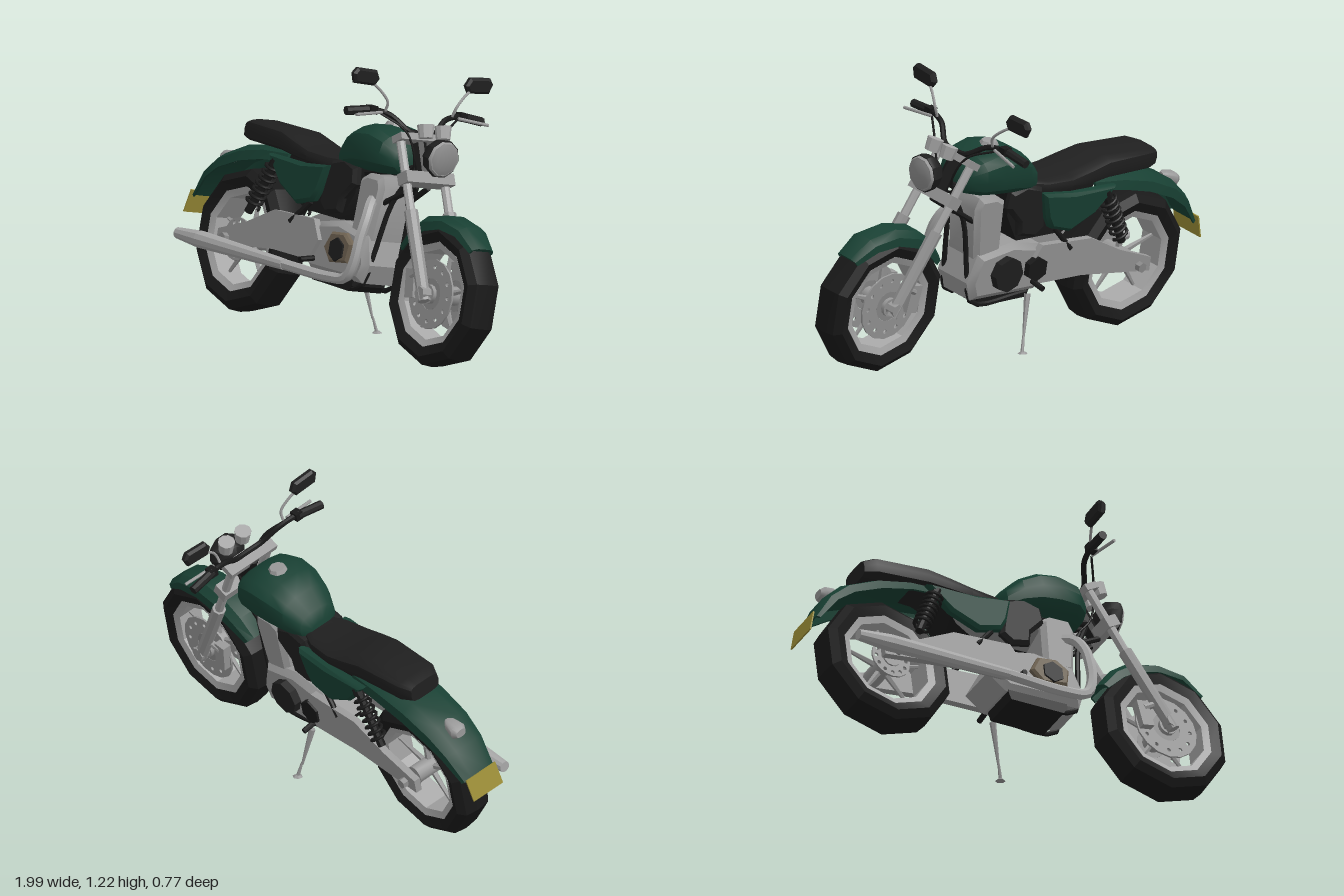
import * as THREE from 'three';
import { toCreasedNormals } from 'three/addons/utils/BufferGeometryUtils.js';

const V = (x, y, z) => new THREE.Vector3(x, y, z);
const mat = (name, color) => Object.assign(new THREE.MeshStandardMaterial({ color }), { name });

export function createModel() {
  const green = mat('dark green paint', 0x184033), black = mat('black rubber', 0x191919);
  const dark = mat('black leather', 0x1f1f1f), steel = mat('steel', 0x989898);
  const chrome = mat('pale chrome', 0xa8a8a8), tan = mat('tan cover', 0x6f6352);
  const yellow = mat('yellow plate', 0x9c8e37), grey = mat('grey lens', 0x8c8c8c);

  const root = new THREE.Group(), bike = new THREE.Group();
  root.name = 'motorcycle';
  bike.name = 'leaningBike';
  root.add(bike);
  // the parked bike leans over onto its side stand
  bike.rotation.x = -0.2;
  bike.position.z = 0.2;

  const add = (name, geo, m, parent = bike, crease = 0.6) => {
    const mesh = new THREE.Mesh(toCreasedNormals(geo, crease), m);
    mesh.name = name;
    parent.add(mesh);
  };
  // closed skin over a row of closed rings, ends filled strip by strip
  const loft = (rings) => {
    const n = rings[0].length, pos = rings.flat().flatMap(p => [p.x, p.y, p.z]), idx = [];
    for (let i = 0; i + 1 < rings.length; i++) for (let j = 0; j < n; j++) {
      const a = i * n + j, b = i * n + (j + 1) % n;
      idx.push(a, b, a + n, b, b + n, a + n);
    }
    const e = (rings.length - 1) * n;
    for (let j = 0; j < n / 2 - 1; j++) {
      const k = n - 1 - j;
      idx.push(j + 1, j, k, j + 1, k, k - 1);
      idx.push(e + j, e + j + 1, e + k, e + k, e + j + 1, e + k - 1);
    }
    // turn the skin outward
    let vol = 0;
    const P = i => V(pos[i * 3], pos[i * 3 + 1], pos[i * 3 + 2]);
    for (let i = 0; i < idx.length; i += 3) vol += P(idx[i]).dot(P(idx[i + 1]).cross(P(idx[i + 2])));
    if (vol < 0) idx.reverse();
    const g = new THREE.BufferGeometry();
    g.setAttribute('position', new THREE.Float32BufferAttribute(pos, 3));
    g.setIndex(idx);
    return g;
  };
  // rounded body from [x, bottom, top, half width] stations
  const body = (stations, power = 0.75) => loft(stations.map(([x, lo, hi, w]) =>
    Array.from({ length: 14 }, (_, i) => {
      const a = i / 14 * Math.PI * 2, f = t => Math.sign(t) * Math.abs(t) ** power;
      return V(x, (lo + hi) / 2 + f(Math.sin(a)) * (hi - lo) / 2, f(Math.cos(a)) * w);
    })));
  // curved mudguard: an arched strip swept along [x, y, half width, side drop]
  const guard = (path) => loft(path.map(([x, y, w, d], i) => {
    const a = path[Math.max(i - 1, 0)], b = path[Math.min(i + 1, path.length - 1)];
    const l = Math.hypot(b[0] - a[0], b[1] - a[1]), nx = -(b[1] - a[1]) / l, ny = (b[0] - a[0]) / l;
    return [[-w, -d], [-w * 0.92, -d * 0.4], [-w * 0.5, 0], [w * 0.5, 0], [w * 0.92, -d * 0.4], [w, -d],
      [w - 0.01, -d], [w * 0.8, -d * 0.45], [w * 0.45, -0.014], [-w * 0.45, -0.014], [-w * 0.8, -d * 0.45], [-w + 0.01, -d]]
      .map(([z, h]) => V(x + nx * h, y + ny * h, z));
  }));
  // flat polygon in the side plane, thick along z
  const slab = (pts, z, depth, bevel = 0) => {
    const s = new THREE.Shape(pts.map(p => new THREE.Vector2(...p)));
    return new THREE.ExtrudeGeometry(s, { depth: depth - bevel * 2, bevelEnabled: bevel > 0, bevelSize: bevel,
      bevelThickness: bevel, bevelOffset: -bevel, bevelSegments: 1 }).translate(0, 0, z - depth / 2 + bevel);
  };
  const rod = (a, b, r1, r2 = r1, n = 8) => {
    const d = b.clone().sub(a), g = new THREE.CylinderGeometry(r2, r1, d.length(), n);
    g.applyQuaternion(new THREE.Quaternion().setFromUnitVectors(V(0, 1, 0), d.normalize()));
    return g.translate(...a.clone().add(b).multiplyScalar(0.5).toArray());
  };
  const tube = (pts, r, n = 16) => new THREE.TubeGeometry(new THREE.CatmullRomCurve3(pts, false, 'centripetal'), n, r, 7);
  const disc = (r, depth, x, y, z, n = 12) => new THREE.CylinderGeometry(r, r, depth, n).rotateX(Math.PI / 2).translate(x, y, z);
  const ring = (profile) => new THREE.LatheGeometry([...profile, profile[0]].map(p => new THREE.Vector2(...p)), 10)
    .rotateX(Math.PI / 2);

  // wheels with thin spokes and drilled brake discs
  const wheel = (name, x, y, w, discR, sides) => {
    const g = new THREE.Group();
    g.name = name;
    g.position.set(x, y, 0);
    bike.add(g);
    add('tyre', ring([[0.215, -w * 0.8], [0.262, -w], [0.294, -w * 0.7], [0.301, 0], [0.294, w * 0.7], [0.262, w], [0.215, w * 0.8]]), black, g, 0.3);
    add('rim', ring([[0.19, -w * 0.7], [0.22, -w * 0.83], [0.22, w * 0.83], [0.19, w * 0.7]]), chrome, g, 0.3);
    add('hub', disc(0.04, 0.17, 0, 0, 0), steel, g);
    for (let i = 0; i < 5; i++) {
      const a = i / 5 * Math.PI * 2 + 0.3;
      add('spoke', rod(V(Math.cos(a) * 0.03, Math.sin(a) * 0.03, 0), V(Math.cos(a) * 0.195, Math.sin(a) * 0.195, 0), 0.014, 0.007, 5), steel, g);
    }
    const s = new THREE.Shape().absarc(0, 0, discR, 0, Math.PI * 2);
    s.holes.push(new THREE.Path().absarc(0, 0, discR * 0.45, 0, Math.PI * 2, true));
    for (let i = 0; i < 12; i++) {
      const a = i / 12 * Math.PI * 2;
      s.holes.push(new THREE.Path().absarc(Math.cos(a) * discR * 0.78, Math.sin(a) * discR * 0.78, 0.009, 0, Math.PI * 2, true));
    }
    for (const z of sides) {
      add('brakeDisc', new THREE.ExtrudeGeometry(s, { depth: 0.008, bevelEnabled: false, curveSegments: 8 }).translate(0, 0, z - 0.004), steel, g);
      add('discCarrier', disc(discR * 0.5, 0.006, 0, 0, z, 6), grey, g);
    }
  };
  wheel('frontWheel', 0.703, 0.305, 0.08, 0.145, [-0.065, 0.065]);
  wheel('rearWheel', -0.617, 0.3, 0.085, 0.09, [0.075]);

  // painted bodywork and seat
  add('frontMudguard', guard([[0.42, 0.47, 0.06, 0.04], [0.48, 0.55, 0.075, 0.06], [0.57, 0.61, 0.08, 0.065],
    [0.7, 0.635, 0.08, 0.06], [0.83, 0.61, 0.078, 0.05], [0.92, 0.535, 0.06, 0.03]]), green);
  add('rearMudguard', guard([[-0.965, 0.43, 0.085, 0.025], [-0.9, 0.545, 0.105, 0.05], [-0.81, 0.625, 0.115, 0.065],
    [-0.66, 0.688, 0.12, 0.07], [-0.5, 0.718, 0.12, 0.065], [-0.34, 0.725, 0.11, 0.055]]), green);
  add('fuelTank', body([[-0.035, 0.71, 0.77, 0.05], [-0.015, 0.7, 0.82, 0.095], [0.05, 0.71, 0.88, 0.13], [0.13, 0.72, 0.92, 0.15],
    [0.22, 0.725, 0.932, 0.155], [0.31, 0.735, 0.905, 0.145], [0.36, 0.745, 0.86, 0.1], [0.38, 0.77, 0.82, 0.05]]), green);
  add('fuelCap', new THREE.CylinderGeometry(0.033, 0.042, 0.016, 8).translate(0.2, 0.932, 0), steel);
  add('seat', body([[-0.69, 0.71, 0.785, 0.075], [-0.64, 0.705, 0.8, 0.1], [-0.4, 0.705, 0.8, 0.115], [-0.3, 0.695, 0.775, 0.12],
    [-0.2, 0.69, 0.75, 0.12], [-0.08, 0.685, 0.745, 0.105], [0.0, 0.685, 0.75, 0.07]], 0.5), dark);
  for (const s of [1, -1]) {
    add('sidePanel', slab([[-0.43, 0.69], [-0.2, 0.69], [-0.03, 0.71], [-0.06, 0.6], [-0.09, 0.55], [-0.2, 0.52], [-0.33, 0.58]], s * 0.117, 0.05, 0.014), green);
    add('sideCover', slab([[-0.04, 0.73], [0.05, 0.755], [0.13, 0.73], [0.14, 0.66], [0.07, 0.59], [0.06, 0.53], [-0.03, 0.51], [-0.08, 0.55]], s * 0.09, 0.05, 0.015), dark);
  }
  add('airBox', slab([[-0.35, 0.7], [0.13, 0.74], [0.12, 0.62], [0.05, 0.5], [-0.2, 0.5], [-0.28, 0.56]], 0, 0.17), black);

  // engine
  add('crankcase', slab([[-0.16, 0.34], [-0.08, 0.47], [0.08, 0.5], [0.26, 0.47], [0.3, 0.35], [0.27, 0.27], [-0.08, 0.27]], 0, 0.23, 0.025), steel);
  add('cylinderBlock', slab([[0.13, 0.45], [0.14, 0.69], [0.19, 0.72], [0.28, 0.72], [0.3, 0.67], [0.27, 0.45]], 0, 0.19, 0.02), steel);
  add('sump', slab([[-0.07, 0.265], [-0.06, 0.23], [0.19, 0.225], [0.21, 0.25], [0.21, 0.28], [-0.07, 0.28]], 0.01, 0.17), black);
  add('clutchCover', slab([[0.03, 0.38], [0.07, 0.45], [0.16, 0.46], [0.215, 0.42], [0.2, 0.34], [0.08, 0.325]], 0.12, 0.04, 0.01), tan);
  add('clutchPlate', disc(0.05, 0.012, 0.13, 0.385, 0.142, 6), dark);
  add('generatorCover', disc(0.075, 0.05, 0.12, 0.38, -0.125, 8), dark);
  add('sprocketCover', disc(0.055, 0.04, -0.04, 0.38, -0.125, 6), black);

  // rear suspension, swing arm and frame, both sides
  for (const s of [1, -1]) {
    add('swingArm', slab([[-0.68, 0.27], [-0.68, 0.33], [-0.5, 0.39], [-0.33, 0.47], [-0.06, 0.48], [-0.01, 0.4], [-0.06, 0.31], [-0.3, 0.31]], s * 0.12, 0.03), steel);
    add('rearAxleNut', disc(0.022, 0.03, -0.617, 0.3, s * 0.145, 6), grey);
    const a = V(-0.38, 0.67, s * 0.12), b = V(-0.5, 0.43, s * 0.135);
    add('shockAbsorber', rod(b, a, 0.018), black);
    add('shockTop', rod(a.clone().lerp(b, 0.12), a, 0.026), black);
    const coil = Array.from({ length: 57 }, (_, i) => {
      const t = i / 8 * Math.PI * 2, p = a.clone().lerp(b, 0.12 + 0.76 * i / 56);
      return p.add(V(Math.cos(t) * 0.033, Math.cos(t) * -0.016, Math.sin(t) * 0.03));
    });
    add('shockSpring', tube(coil, 0.007, 84), black);
    add('footPeg', rod(V(-0.04, 0.32, s * 0.12), V(-0.04, 0.31, s * 0.19), 0.012), black);
    add('passengerPegBracket', rod(V(-0.22, 0.44, s * 0.13), V(-0.13, 0.54, s * 0.11), 0.012), black);
    add('frameDownTube', tube([V(0.4, 0.76, s * 0.02), V(0.33, 0.62, s * 0.05), V(0.29, 0.4, s * 0.07), V(0.25, 0.255, s * 0.08), V(-0.05, 0.255, s * 0.08)], 0.011), black);
    add('frameTopTube', rod(V(0.4, 0.78, s * 0.02), V(-0.1, 0.66, s * 0.07), 0.015), black);
    add('frameBrace', rod(V(0.45, 0.71, s * 0.03), V(0.28, 0.61, s * 0.06), 0.012), black);
  }

  // exhaust on one side
  add('exhaustPipe', tube([V(0.23, 0.62, 0.07), V(0.27, 0.6, 0.115), V(0.295, 0.54, 0.145), V(0.3, 0.46, 0.165), V(0.295, 0.36, 0.172), V(0.26, 0.29, 0.172),
    V(0.15, 0.272, 0.175), V(-0.13, 0.272, 0.195)], 0.023, 30), chrome);
  add('muffler', rod(V(-0.7, 0.275, 0.203), V(-0.13, 0.272, 0.195), 0.037, 0.024, 10), chrome);
  add('mufflerEnd', rod(V(-0.85, 0.275, 0.205), V(-0.7, 0.275, 0.203), 0.024, 0.037, 10), chrome);

  // front fork, controls and mirrors, both sides
  for (const s of [1, -1]) {
    add('forkTube', rod(V(0.535, 0.6, s * 0.1), V(0.375, 0.9, s * 0.1), 0.019), chrome);
    add('forkLeg', rod(V(0.715, 0.275, s * 0.105), V(0.525, 0.62, s * 0.1), 0.027, 0.029), steel);
    add('forkFoot', disc(0.03, 0.05, 0.703, 0.305, s * 0.105, 8), steel);
    add('brakeCaliper', new THREE.BoxGeometry(0.055, 0.12, 0.04).rotateZ(0.15).translate(0.59, 0.33, s * 0.08), steel);
    add('caliperArm', rod(V(0.59, 0.36, s * 0.09), V(0.65, 0.39, s * 0.1), 0.015), steel);
    add('gauge', new THREE.CylinderGeometry(0.036, 0.03, 0.055, 10).rotateZ(0.3).translate(0.468, 0.945, s * 0.045), chrome);

    add('handlebar', tube([V(0.39, 0.925, 0), V(0.385, 0.93, s * 0.065), V(0.345, 0.985, s * 0.145), V(0.33, 1.0, s * 0.22), V(0.32, 0.995, s * 0.3)], 0.012), black);
    add('grip', rod(V(0.325, 1.0, s * 0.235), V(0.315, 0.985, s * 0.355), 0.019), dark);
    add('switchBox', new THREE.BoxGeometry(0.04, 0.035, 0.035).translate(0.33, 1.0, s * 0.235), black);
    add('brakeLever', rod(V(0.355, 0.995, s * 0.2), V(0.375, 0.98, s * 0.345), 0.007), steel);
    add('mirrorStem', tube([V(0.345, 1.0, s * 0.175), V(0.358, 1.04, s * 0.18), V(0.345, 1.09, s * 0.225), V(0.33, 1.12, s * 0.27)], 0.006), steel);
    const mirror = slab([[-0.07, -0.005], [-0.05, 0.03], [0.05, 0.035], [0.07, 0.01], [0.055, -0.03], [-0.05, -0.035]], 0, 0.035, 0.01);
    add('mirror', mirror.rotateY(-s * Math.PI / 2).translate(0.33, 1.135, s * 0.295), dark);
    add('controlCable', tube([V(0.35, 0.99, s * 0.2), V(0.41, 0.93, s * 0.1), V(0.42, 0.8, s * 0.04), V(0.36, 0.72, s * 0.03)], 0.005), black);
  }
  add('frontAxle', disc(0.013, 0.24, 0.703, 0.305, 0, 8), grey);
  const clamp = (x, y, w, h, d) => new THREE.BoxGeometry(w, h, d).rotateZ(0.49).translate(x, y, 0);
  add('lowerForkClamp', clamp(0.465, 0.745, 0.065, 0.05, 0.25), steel);
  add('upperForkClamp', clamp(0.385, 0.9, 0.065, 0.03, 0.25), steel);
  add('steeringHead', rod(V(0.455, 0.73, 0), V(0.37, 0.9, 0), 0.03), black);

  // headlight with a domed black shell
  const lamp = new THREE.Group();
  lamp.name = 'headlight';
  lamp.position.set(0.515, 0.85, 0);
  lamp.rotation.z = -0.08;
  bike.add(lamp);
  const shell = [[0, -0.045], [0.045, -0.035], [0.072, -0.008], [0.082, 0.025], [0.08, 0.04], [0, 0.04]].map(p => new THREE.Vector2(...p));
  add('lampShell', new THREE.LatheGeometry(shell, 10).rotateZ(-Math.PI / 2), dark, lamp);
  add('lampRim', new THREE.CylinderGeometry(0.07, 0.077, 0.012, 10).rotateZ(-Math.PI / 2).translate(0.045, 0, 0), steel, lamp);
  add('lampLens', new THREE.CylinderGeometry(0.045, 0.068, 0.009, 10).rotateZ(-Math.PI / 2).translate(0.055, 0, 0), grey, lamp);

  // tail
  add('tailLight', body([[-0.885, 0.585, 0.62, 0.025], [-0.865, 0.575, 0.633, 0.038], [-0.82, 0.59, 0.64, 0.03], [-0.8, 0.6, 0.637, 0.015]]), steel);
  add('numberPlate', new THREE.BoxGeometry(0.006, 0.1, 0.16).rotateZ(-0.28).translate(-0.983, 0.395, 0), yellow);

  // side stand, planted on the ground
  add('standLeg', rod(V(0.025, 0.06, 0), V(-0.015, 0.24, 0.02), 0.005, 0.014, 6), steel, root);
  add('standTip', rod(V(0.04, 0.005, -0.01), V(0.025, 0.07, 0), 0.008, 0.005, 6), steel, root);
  add('standFoot', new THREE.CylinderGeometry(0.012, 0.022, 0.008, 6).translate(0.04, 0.004, -0.012), steel, root);
  return root;
}
